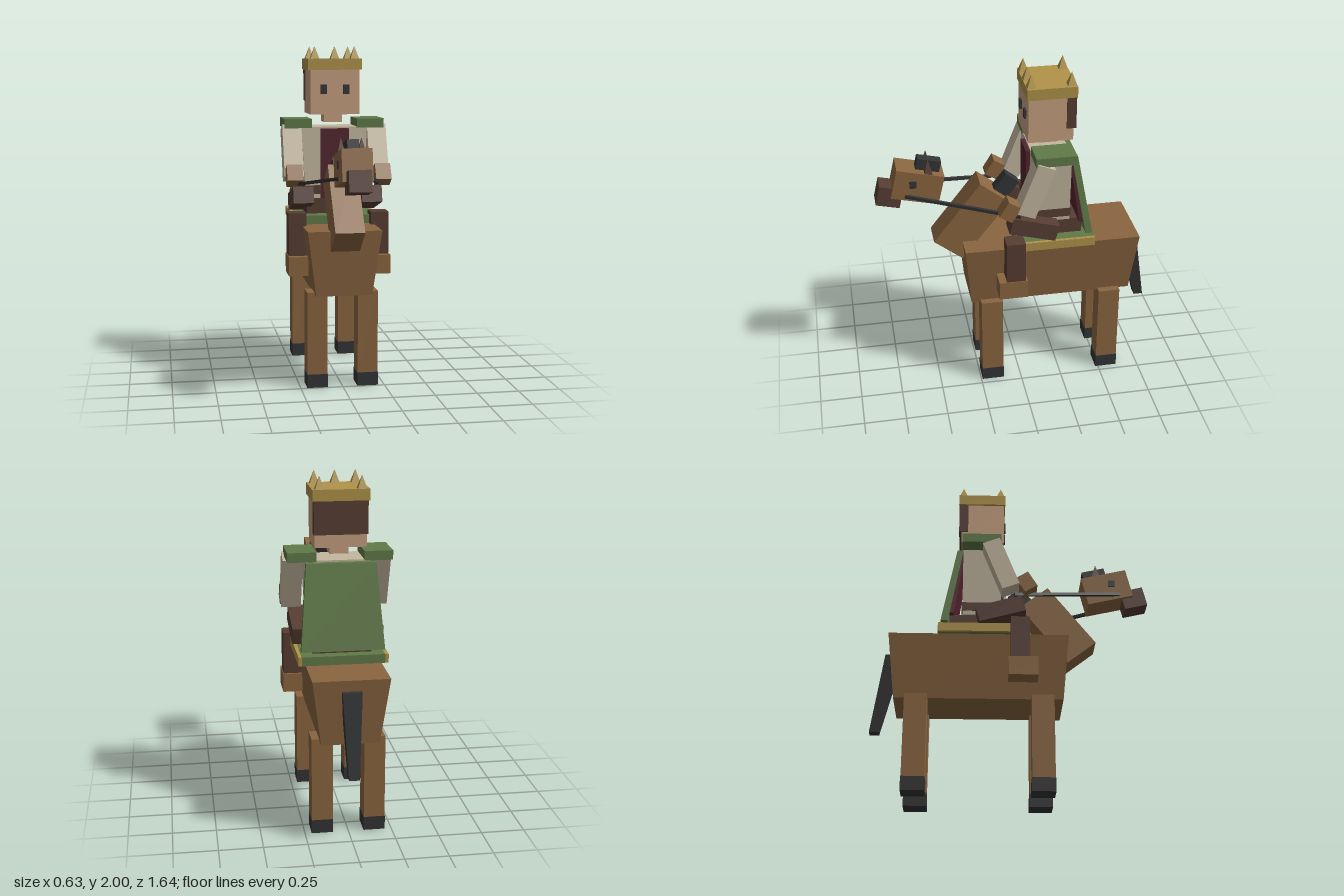
import * as THREE from 'three';

const mat = (name, color) => {
  const m = new THREE.MeshStandardMaterial({ color });
  m.name = name;
  return m;
};

export function createModel() {
  const brown = mat('horse brown', 0x8b6640);
  const dark = mat('dark brown', 0x573d33);
  const black = mat('charcoal', 0x333435);
  const gold = mat('gold', 0xb19349);
  const green = mat('green', 0x607a48);
  const beige = mat('beige', 0xc5b8a0);
  const skin = mat('skin', 0xc8a080);
  const red = mat('wine red', 0x53242f);

  const model = new THREE.Group();
  const horse = new THREE.Group();
  horse.name = 'horse';
  const rider = new THREE.Group();
  rider.name = 'rider';
  model.add(horse, rider);

  const put = (parent, name, geo, material) => {
    const mesh = new THREE.Mesh(geo, material);
    mesh.name = name;
    parent.add(mesh);
    return mesh;
  };
  // Box given by size, centre and tilt about x
  const box = (parent, name, material, [w, h, d], [x, y, z], tilt = 0) => {
    const mesh = put(parent, name, new THREE.BoxGeometry(w, h, d), material);
    mesh.position.set(x, y, z);
    mesh.rotation.x = tilt;
    return mesh;
  };
  // Box given by its x, y and z limits
  const span = (parent, name, material, x0, x1, y0, y1, z0, z1) =>
    box(parent, name, material, [Math.abs(x1 - x0), y1 - y0, z1 - z0],
      [(x0 + x1) / 2, (y0 + y1) / 2, (z0 + z1) / 2]);
  // Tapered or leaning block: each end is [y, half width, back z, front z]
  const block = (parent, name, material, bottom, top) => {
    const geo = new THREE.BoxGeometry(2, 2, 2);
    const p = geo.attributes.position;
    for (let i = 0; i < p.count; i++) {
      const [y, w, back, front] = p.getY(i) > 0 ? top : bottom;
      p.setXYZ(i, p.getX(i) * w, y, p.getZ(i) > 0 ? front : back);
    }
    const flat = geo.toNonIndexed();
    flat.computeVertexNormals();
    return put(parent, name, flat, material);
  };
  // Four-sided spike standing on its base
  const spike = (parent, name, material, half, h, x, y, z) => {
    const geo = new THREE.ConeGeometry(half * Math.SQRT2, h, 4).rotateY(Math.PI / 4).toNonIndexed();
    geo.computeVertexNormals();
    put(parent, name, geo, material).position.set(x, y + h / 2, z);
  };

  // Horse body, tail and neck
  block(horse, 'body', brown, [0.56, 0.165, -0.68, 0.295], [0.945, 0.217, -0.72, 0.33]);
  block(horse, 'tail', black, [0.4, 0.03, -0.82, -0.765], [0.88, 0.055, -0.745, -0.65]);
  box(horse, 'neck', brown, [0.17, 0.457, 0.215], [0, 1.075, 0.274], -0.664);
  box(horse, 'mane', black, [0.065, 0.22, 0.1], [0, 1.23, 0.087], -0.664);

  // Horse head
  box(horse, 'horseHead', brown, [0.17, 0.18, 0.28], [0, 1.335, 0.58], -0.23);
  box(horse, 'muzzle', dark, [0.125, 0.12, 0.14], [0, 1.274, 0.743], -0.23);
  box(horse, 'forelock', black, [0.065, 0.07, 0.14], [0, 1.443, 0.51], -0.23);

  // Saddle
  span(horse, 'saddle', green, -0.24, 0.24, 0.945, 0.997, -0.434, 0.03);

  // Rider torso and cape
  span(rider, 'hips', dark, -0.17, 0.17, 0.99, 1.09, -0.37, -0.065);
  block(rider, 'torso', beige, [1.09, 0.175, -0.295, -0.065], [1.52, 0.2, -0.295, -0.075]);
  span(rider, 'belt', dark, -0.182, 0.182, 1.115, 1.168, -0.3, -0.058);
  span(rider, 'beltBuckle', gold, 0.085, 0.14, 1.1, 1.145, -0.06, -0.052);
  span(rider, 'chestPanel', red, -0.085, 0.085, 1.09, 1.51, -0.08, -0.05);
  block(rider, 'cape', green, [1.02, 0.24, -0.42, -0.38], [1.51, 0.2, -0.33, -0.295]);
  block(rider, 'capeLining', red, [1.085, 0.21, -0.38, -0.345], [1.5, 0.185, -0.3, -0.285]);

  // Rider head
  span(rider, 'neckStub', skin, -0.055, 0.055, 1.545, 1.6, -0.24, -0.13);
  span(rider, 'face', skin, -0.148, 0.148, 1.595, 1.865, -0.31, -0.05);
  span(rider, 'hair', dark, -0.154, 0.154, 1.67, 1.862, -0.325, -0.27);

  // Crown with three front and two back points
  span(rider, 'crownBand', gold, -0.162, 0.162, 1.86, 1.925, -0.328, -0.042);
  for (const [x, z] of [[-0.12, -0.07], [0, -0.07], [0.12, -0.07], [-0.12, -0.3], [0.12, -0.3]]) {
    spike(rider, 'crownPoint', gold, 0.026, 0.075, x, 1.925, z);
  }

  // Mirrored parts
  for (const s of [-1, 1]) {
    for (const z of [0.175, -0.55]) {
      span(horse, 'horseLeg', brown, s * 0.09, s * 0.21, 0.08, 0.572, z - 0.065, z + 0.065);
      span(horse, 'hoof', black, s * 0.088, s * 0.212, 0, 0.08, z - 0.067, z + 0.067);
    }
    spike(horse, 'ear', dark, 0.026, 0.1, s * 0.058, 1.4, 0.515);
    box(horse, 'horseEye', black, [0.01, 0.044, 0.04], [s * 0.086, 1.357, 0.607]);
    span(horse, 'saddleTrim', gold, s * 0.238, s * 0.258, 0.945, 0.997, -0.434, 0.02);

    // Rein from the bridle to the hand
    const from = new THREE.Vector3(s * 0.085, 1.287, 0.655);
    const to = new THREE.Vector3(s * 0.26, 1.183, 0.01);
    const rein = box(horse, 'rein', black, [0.018, 0.018, from.distanceTo(to)],
      from.clone().add(to).multiplyScalar(0.5).toArray());
    rein.lookAt(to);

    span(rider, 'eye', black, s * 0.05, s * 0.086, 1.717, 1.773, -0.06, -0.038);
    span(rider, 'shoulderPad', green, s * 0.137, s * 0.302, 1.513, 1.568, -0.3, -0.068);
    box(rider, 'arm', beige, [0.115, 0.325, 0.107], [s * 0.257, 1.365, -0.07], -0.37);
    box(rider, 'hand', brown, [0.093, 0.105, 0.085], [s * 0.263, 1.245, 0.08], -0.55);
    box(rider, 'thigh', dark, [0.122, 0.1, 0.28], [s * 0.206, 1.09, -0.07], -0.27);
    span(rider, 'shin', dark, s * 0.195, s * 0.3, 0.76, 1.022, -0.012, 0.1);
    span(rider, 'boot', brown, s * 0.19, s * 0.305, 0.655, 0.768, -0.025, 0.145);
  }
  return model;
}
